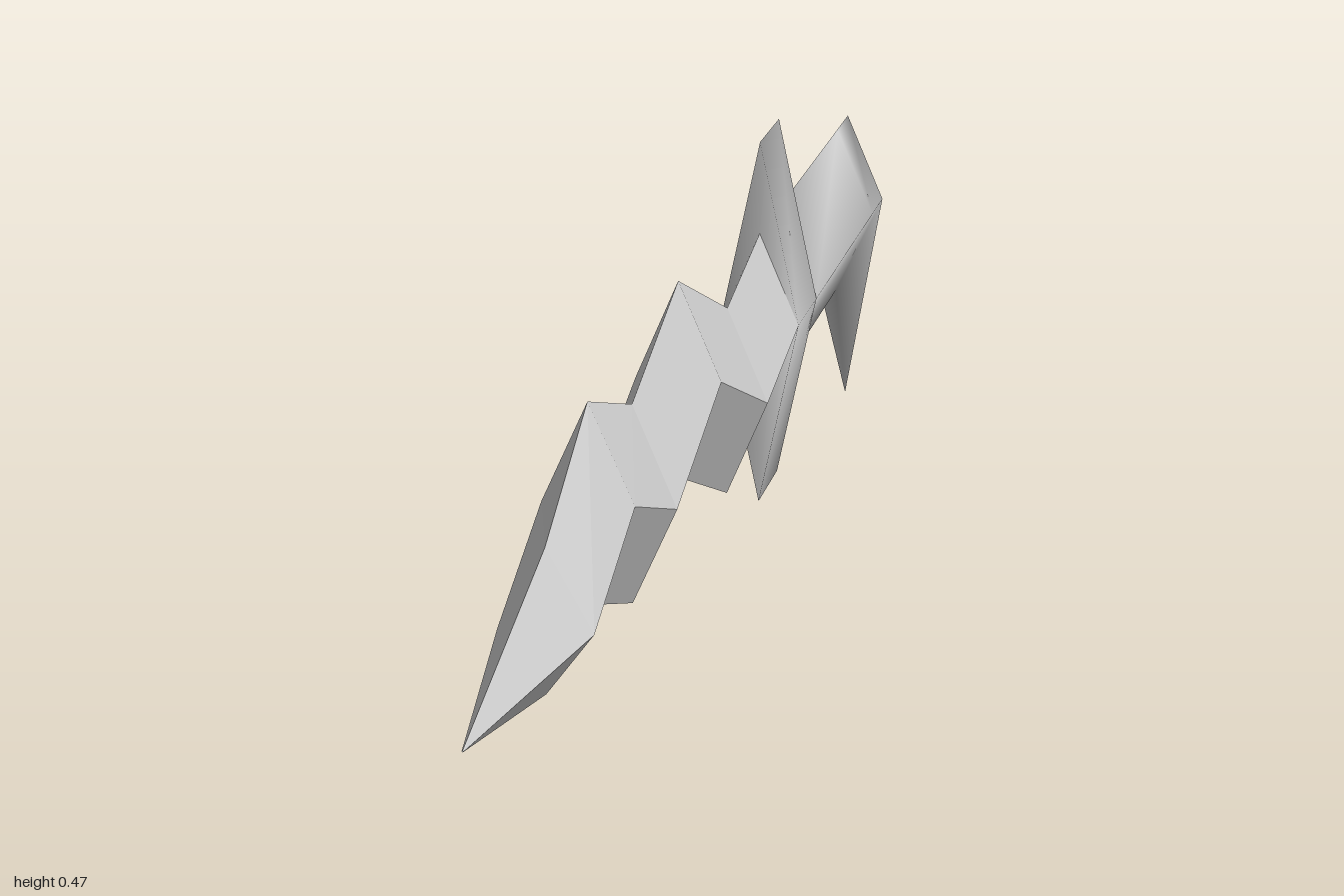
import * as THREE from 'three';

const HALF_WIDTH = 0.045;

// Loft diamond cross-sections, listed front to back as [z, top, middle, bottom, halfWidth]
function diamondLoft(sections, flat) {
  const positions = [];
  const index = [];
  for (const [z, top, mid, bottom, w = HALF_WIDTH] of sections) {
    positions.push(0, top, z, w, mid, z, 0, bottom, z, -w, mid, z);
  }
  for (let s = 0; s < sections.length - 1; s++) {
    for (let i = 0; i < 4; i++) {
      const a = s * 4 + i;
      const b = s * 4 + (i + 1) % 4;
      index.push(a, b, a + 4, b, b + 4, a + 4);
    }
  }
  // End caps
  const e = (sections.length - 1) * 4;
  index.push(0, 3, 2, 0, 2, 1, e, e + 2, e + 3, e, e + 1, e + 2);

  let geometry = new THREE.BufferGeometry();
  geometry.setAttribute('position', new THREE.Float32BufferAttribute(positions, 3));
  geometry.setIndex(index);
  if (flat) geometry = geometry.toNonIndexed();
  geometry.computeVertexNormals();
  return geometry;
}

export function createModel() {
  const model = new THREE.Group();
  model.name = 'wavyDagger';
  const steel = new THREE.MeshStandardMaterial({ color: 0xcccccc });
  steel.name = 'grey steel';

  const add = (name, sections, flat) => {
    const mesh = new THREE.Mesh(diamondLoft(sections, flat), steel);
    mesh.name = name;
    model.add(mesh);
  };

  // Wavy blade tapering to a point
  add('blade', [
    [1, 0.256, 0.255, 0.254, 0.001],
    [0.69, 0.335, 0.255, 0.195],
    [0.51, 0.42, 0.32, 0.22],
    [0.31, 0.36, 0.255, 0.155],
    [0.08, 0.425, 0.32, 0.215],
    [-0.19, 0.325, 0.22, 0.115],
    [-0.385, 0.36, 0.255, 0.155],
  ], true);

  // Tall diamond crossguard
  add('guard', [
    [-0.385, 0.465, 0.255, 0.045],
    [-0.505, 0.465, 0.255, 0.045],
  ], false);

  // Grip with a hooked pommel
  add('grip', [
    [-0.505, 0.36, 0.255, 0.155],
    [-0.92, 0.36, 0.255, 0.155],
    [-1, 0.36, 0.255, 0],
  ], false);

  return model;
}
